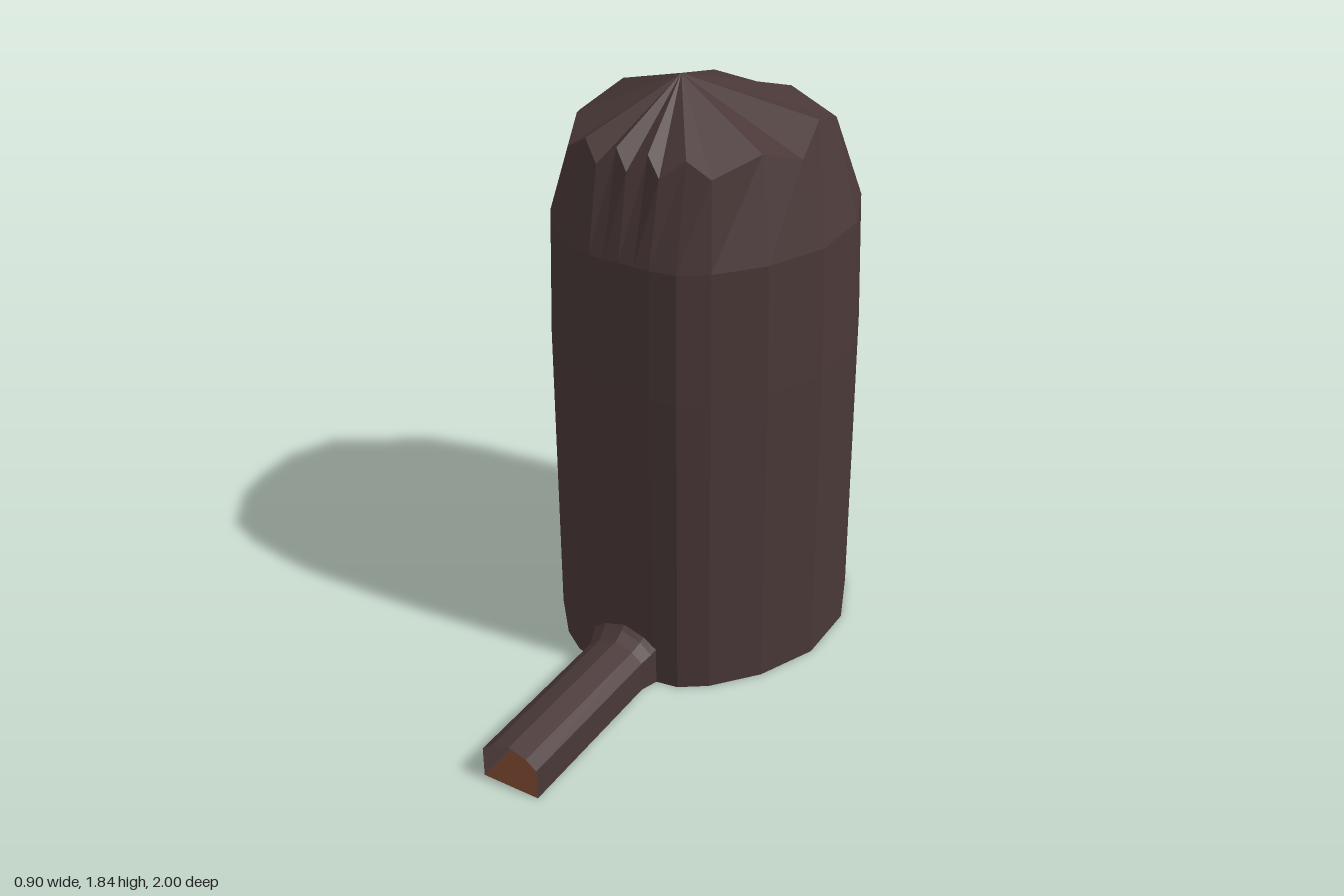
import * as THREE from 'three';

const bark = new THREE.MeshStandardMaterial({ color: 0x4a3838, side: THREE.DoubleSide });
bark.name = 'darkBark';
bark.flatShading = true;
const brown = new THREE.MeshStandardMaterial({ color: 0x56301f, side: THREE.DoubleSide });
brown.name = 'brownUnderside';
brown.flatShading = true;

function mesh(name, geometry, material) {
  const m = new THREE.Mesh(geometry, material);
  m.name = name;
  return m;
}

// Faceted geometry from a list of corner triples
function facets(corners) {
  const g = new THREE.BufferGeometry();
  g.setAttribute('position', new THREE.Float32BufferAttribute(corners.flat(), 3));
  g.computeVertexNormals();
  return g;
}

// Skin between successive rings of equal length
function loft(rings, closed) {
  const out = [];
  for (let r = 0; r < rings.length - 1; r++) {
    const lo = rings[r], hi = rings[r + 1], n = lo.length;
    for (let i = 0; i < (closed ? n : n - 1); i++) {
      const j = (i + 1) % n;
      out.push(lo[i], hi[i], lo[j], lo[j], hi[i], hi[j]);
    }
  }
  return facets(out);
}

function fan(ring, centre) {
  return facets(ring.flatMap((p, i) => [p, centre, ring[(i + 1) % ring.length]]));
}

// Half outline from back to front, mirrored into a full ring
function mirrorRing(half) {
  const left = half.slice(1, -1).reverse().map(([x, y, z]) => [-x, y, z]);
  return [...half, ...left];
}

export function createModel() {
  const model = new THREE.Group();
  model.name = 'woodenTower';

  // Trunk: many-sided column, denser at the front
  const outline = [
    [0, -0.55], [0.2, -0.5], [0.37, -0.38], [0.45, -0.19], [0.45, 0.02], [0.37, 0.2],
    [0.26, 0.33], [0.18, 0.385], [0.1, 0.398], [0.05, 0.4], [0, 0.4],
  ];
  const level = (y, s) => mirrorRing(outline.map(([x, z]) => [x * s, y, (z + 0.08) * s - 0.08]));
  const rim = mirrorRing([
    [0, 1.65, -0.44], [0.13, 1.7, -0.35], [0.3, 1.65, -0.31], [0.325, 1.7, -0.15],
    [0.365, 1.65, 0.02], [0.3, 1.69, 0.13], [0.23, 1.655, 0.28], [0.16, 1.7, 0.295],
    [0.1, 1.65, 0.335], [0.05, 1.7, 0.31], [0, 1.65, 0.34],
  ]);
  const base = level(0, 1);
  model.add(mesh('trunk', loft([base, level(1, 1), level(1.4, 0.975), rim], true), bark));

  // Zigzag-edged pointed cap and flat underside
  model.add(mesh('cap', fan(rim, [0, 1.84, 0.055]), bark));
  model.add(mesh('trunkUnderside', fan([...base].reverse(), [0, 0, -0.08]), brown));

  // Hollow spout, flared where it meets the trunk
  const spoutRing = (z, w, h) => [
    [-w, 0, z], [-w, h * 0.69, z], [-w * 0.63, h * 0.88, z], [0, h, z],
    [w * 0.63, h * 0.88, z], [w, h * 0.69, z], [w, 0, z],
  ];
  model.add(mesh('spout', loft([
    spoutRing(1, 0.093, 0.145), spoutRing(0.45, 0.093, 0.145),
    spoutRing(0.415, 0.105, 0.165), spoutRing(0.385, 0.115, 0.19),
  ], false), bark));
  const floor = new THREE.PlaneGeometry(0.186, 0.62).rotateX(Math.PI / 2);
  const spoutFloor = mesh('spoutFloor', floor, brown);
  spoutFloor.position.set(0, 0.001, 0.69);
  model.add(spoutFloor);

  // Rear peg: square bar ending in an eight-sided knob
  const under = [bark, bark, bark, brown, bark, bark];
  const bar = mesh('pegBar', new THREE.BoxGeometry(0.066, 0.065, 0.33), under);
  bar.position.set(0.006, 0.7425, -0.675);
  const knobShape = new THREE.CylinderGeometry(0.0935, 0.0935, 0.135, 8).rotateY(Math.PI / 8);
  const knob = mesh('pegKnob', knobShape, [bark, bark, brown]);
  knob.position.set(0.01, 0.7775, -0.9136);
  model.add(bar, knob);

  return model;
}
